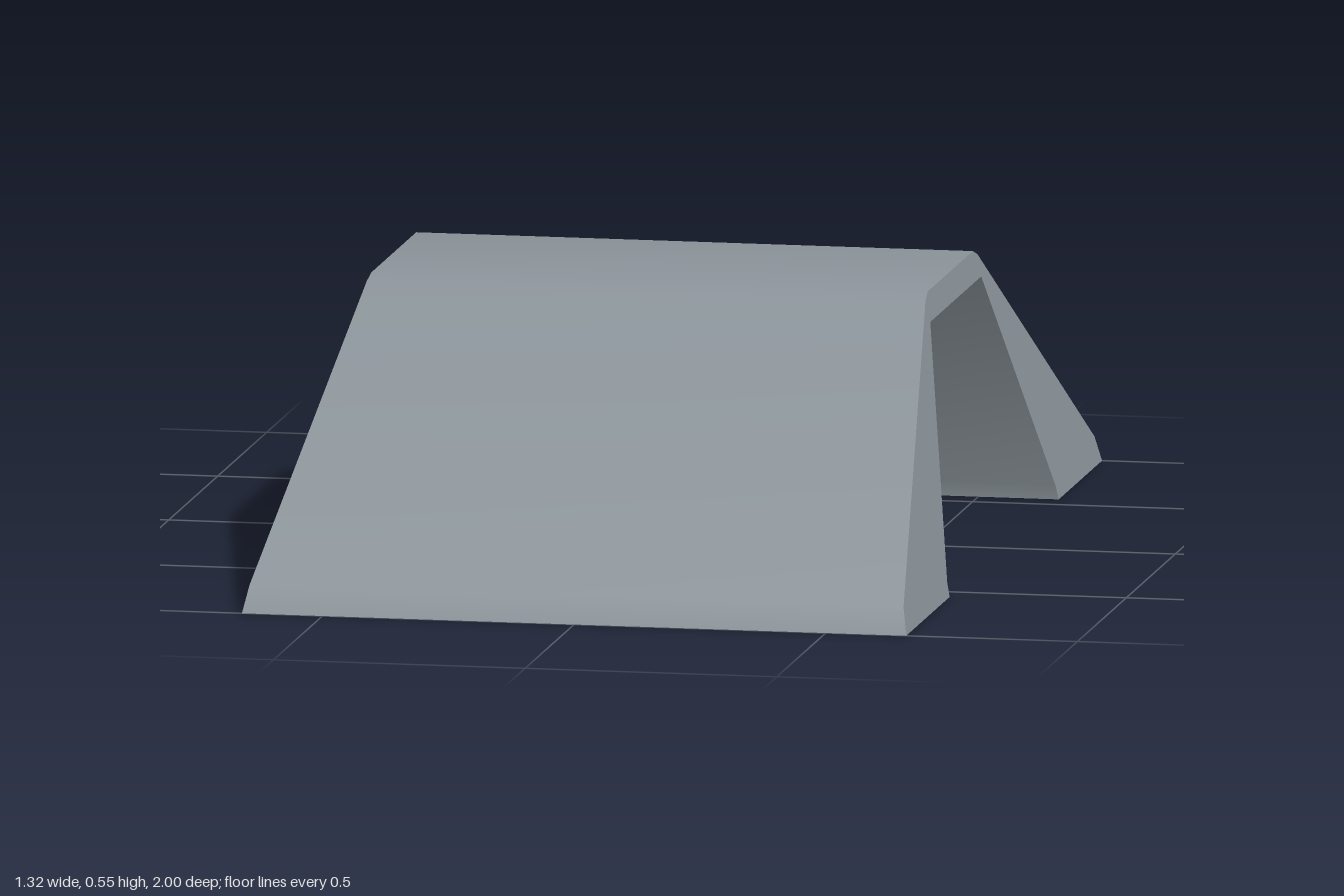
import * as THREE from 'three';
import { toCreasedNormals } from 'three/addons/utils/BufferGeometryUtils.js';

const HEIGHT = 0.545;
const HALF_BASE = 0.66;
const HALF_TOP = 0.553;

export function createModel() {
  const group = new THREE.Group();
  group.name = 'bridgeRamp';
  const grey = new THREE.MeshStandardMaterial({ color: 0x8a9399 });
  grey.name = 'steelGrey';

  // Front half of the side profile as [z, y]: outer slope upward, inner slope downward
  const outer = [[1, 0], [0.975, 0.052], [0.265, 0.533], [0.23, HEIGHT]];
  const inner = [[0.26, 0.49], [0.553, 0.028], [0.557, 0]];
  const mirror = (points) => points.map(([z, y]) => [-z, y]).reverse();
  const profile = [...outer, ...mirror(outer), ...mirror(inner), ...inner];
  const shape = new THREE.Shape(profile.map(([z, y]) => new THREE.Vector2(z, y)));

  // Extrude across the width, then taper the sides inward with height
  const body = new THREE.ExtrudeGeometry(shape, { depth: 2, bevelEnabled: false });
  body.translate(0, 0, -1).rotateY(-Math.PI / 2);
  const pos = body.attributes.position;
  for (let i = 0; i < pos.count; i++) {
    const half = THREE.MathUtils.lerp(HALF_BASE, HALF_TOP, pos.getY(i) / HEIGHT);
    pos.setX(i, pos.getX(i) * half);
  }

  const ramp = new THREE.Mesh(toCreasedNormals(body, 0.75), grey);
  ramp.name = 'rampBody';
  group.add(ramp);
  return group;
}
